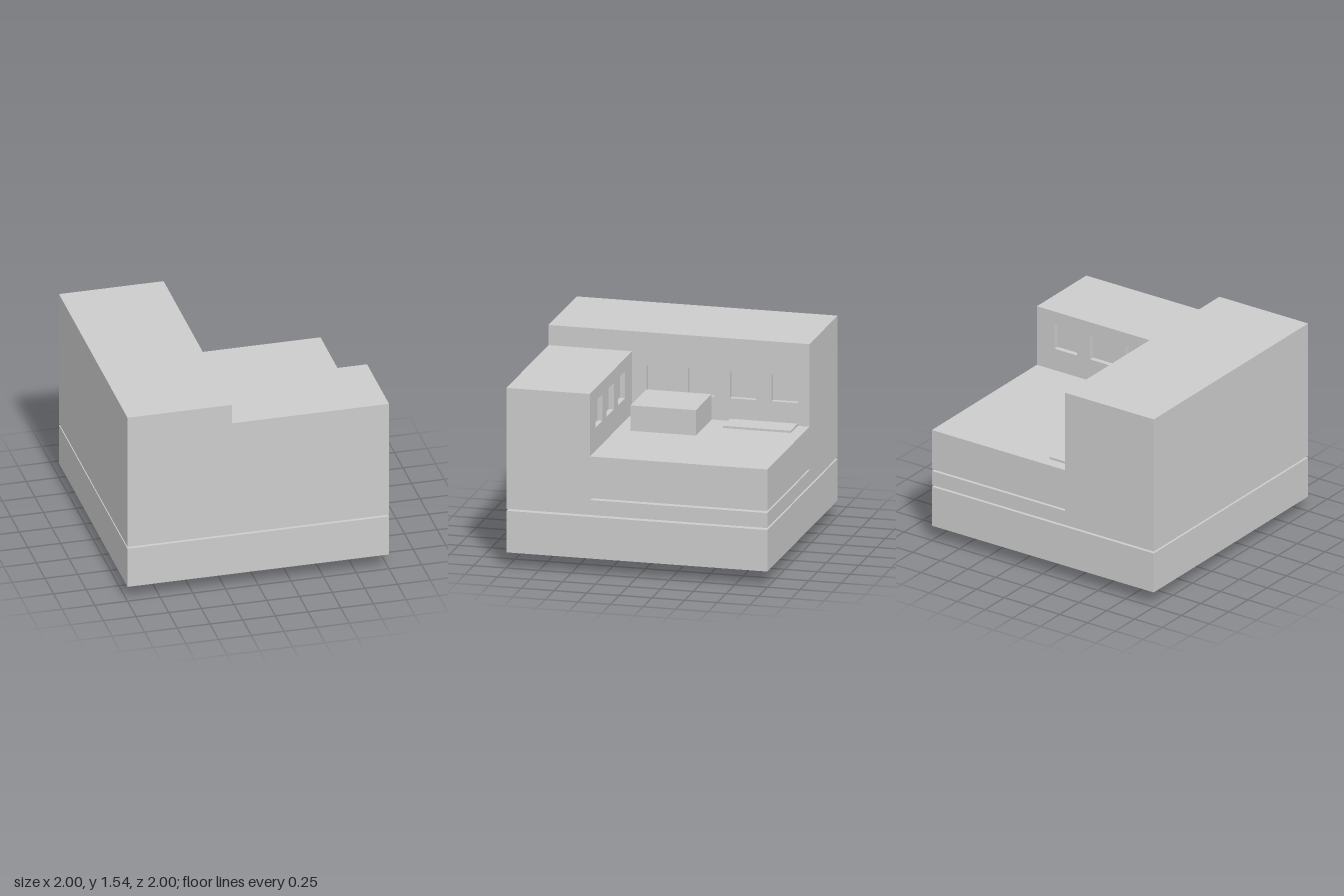
import * as THREE from 'three';

const material = new THREE.MeshStandardMaterial({ color: 0xcccccc, flatShading: true });

// Box given by its lower and upper corners
function block(name, [x0, y0, z0], [x1, y1, z1]) {
  const geometry = new THREE.BoxGeometry(x1 - x0, y1 - y0, z1 - z0);
  geometry.translate((x0 + x1) / 2, (y0 + y1) / 2, (z0 + z1) / 2);
  const mesh = new THREE.Mesh(geometry, material);
  mesh.name = name;
  return mesh;
}

function rectangle(target, x0, y0, x1, y1) {
  target.moveTo(x0, y0);
  target.lineTo(x1, y0);
  target.lineTo(x1, y1);
  target.lineTo(x0, y1);
  target.closePath();
  return target;
}

const FLOOR = 0.455, TERRACE = 0.905, REVEAL = 0.04;
const WINDOW = { width: 0.2, bottom: 1.08, top: 1.285 };

// Upright wall skin with a row of window openings, extruded along +z
function windowWall(name, u0, u1, top, windowStarts) {
  const shape = rectangle(new THREE.Shape(), u0, FLOOR, u1, top);
  for (const u of windowStarts) {
    shape.holes.push(rectangle(new THREE.Path(), u, WINDOW.bottom, u + WINDOW.width, WINDOW.top));
  }
  const geometry = new THREE.ExtrudeGeometry(shape, { depth: REVEAL, bevelEnabled: false });
  const mesh = new THREE.Mesh(geometry, material);
  mesh.name = name;
  return mesh;
}

export function createModel() {
  const group = new THREE.Group();
  group.name = 'stackedBuilding';

  // Foundation and the square core that joins the storeys
  group.add(
    block('foundation', [-1, 0.12, -1], [1, 0.44, 1]),
    block('footing', [-0.25, 0, -0.25], [0.25, 0.12, 0.25]),
    block('coreJoint', [-0.25, 0.44, -0.25], [0.25, FLOOR, 0.25]),
    block('terraceJoint', [-0.2, 0.57, -0.25], [0.25, 0.585, 0.25]),
    block('coreHead', [-0.2, TERRACE, -0.25], [0.25, 1.1, 0.25]),
  );

  // Terrace storey, split by a narrow shadow gap
  group.add(
    block('lowerTerrace', [-0.2, FLOOR, -1], [1, 0.57, 0.36]),
    block('upperTerrace', [-0.2, 0.585, -1], [1, TERRACE, 0.36]),
    block('doorstep', [-0.2, TERRACE, -0.91], [0, 0.922, -0.39]),
  );

  // Tall wing, with four windows facing the terrace
  group.add(block('tallWing', [-1, FLOOR, -1], [-0.2 - REVEAL, 1.54, 1]));
  const tallWall = windowWall('tallWingWall', -1, 1, 1.54, [-0.25, 0.07, 0.39, 0.71]);
  tallWall.rotation.y = Math.PI / 2;
  tallWall.position.x = -0.2 - REVEAL;
  group.add(tallWall);

  // Front wing, with three windows facing the terrace
  group.add(block('frontWing', [-0.2, FLOOR, 0.36 + REVEAL], [1, 1.385, 1]));
  const frontWall = windowWall('frontWingWall', -0.2, 1, 1.385, [0, 0.32, 0.64]);
  frontWall.position.z = 0.36;
  group.add(frontWall);

  return group;
}
